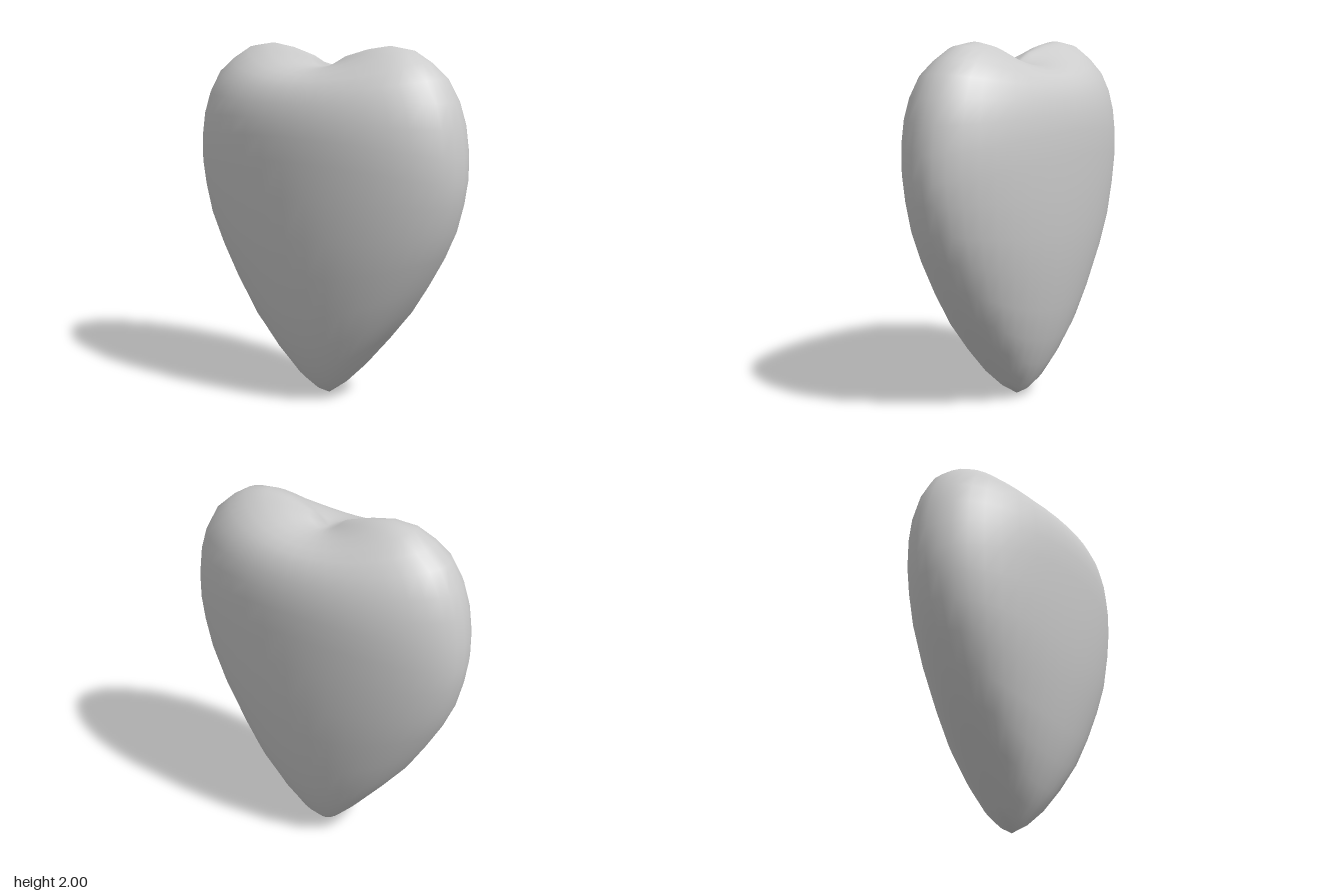
import * as THREE from 'three';

const HALF_WIDTH = 0.86;
const FRONT_DEPTH = 0.44;
const BACK_DEPTH = 0.4;
const CENTRE_Z = -0.02;
const SEGMENTS = 40;

// Rings from tip to cleft: [relative radius, height at the sides, height at the front and back]
const RINGS = [
  [0.155, 0.11, 0.035], [0.31, 0.25, 0.1], [0.465, 0.4, 0.21], [0.62, 0.56, 0.36],
  [0.74, 0.72, 0.54], [0.85, 0.88, 0.76], [0.93, 1.03, 0.97], [0.977, 1.18, 1.2],
  [1, 1.3, 1.4], [1, 1.44, 1.53], [0.977, 1.59, 1.62], [0.93, 1.72, 1.7],
  [0.85, 1.84, 1.77], [0.74, 1.92, 1.815], [0.62, 1.98, 1.845], [0.465, 2, 1.865],
  [0.31, 1.98, 1.875], [0.14, 1.94, 1.88],
];

function heartGeometry() {
  const positions = [];
  const index = [];

  // Elliptical rings whose height swings between the side and front profiles
  for (const [radius, sideY, frontY] of RINGS) {
    for (let i = 0; i < SEGMENTS; i++) {
      const angle = (i / SEGMENTS) * Math.PI * 2;
      const c = Math.cos(angle);
      const s = Math.sin(angle);
      const depth = s > 0 ? FRONT_DEPTH : BACK_DEPTH;
      positions.push(
        HALF_WIDTH * radius * c,
        THREE.MathUtils.lerp(frontY, sideY, c * c),
        CENTRE_Z + depth * radius * s,
      );
    }
  }

  // Tip and cleft points
  const tip = RINGS.length * SEGMENTS;
  const cleft = tip + 1;
  positions.push(0, 0, CENTRE_Z, 0, 1.88, CENTRE_Z);

  // Skin between rings, closed by fans at both ends
  const last = (RINGS.length - 1) * SEGMENTS;
  for (let i = 0; i < SEGMENTS; i++) {
    const j = (i + 1) % SEGMENTS;
    index.push(tip, i, j);
    for (let base = 0; base < last; base += SEGMENTS) {
      const up = base + SEGMENTS;
      index.push(base + i, up + i, base + j, up + i, up + j, base + j);
    }
    index.push(last + i, cleft, last + j);
  }

  const geometry = new THREE.BufferGeometry();
  geometry.setAttribute('position', new THREE.Float32BufferAttribute(positions, 3));
  geometry.setIndex(index);
  geometry.computeVertexNormals();
  return geometry;
}

export function createModel() {
  const group = new THREE.Group();
  group.name = 'heart';
  const body = new THREE.Mesh(
    heartGeometry(),
    new THREE.MeshStandardMaterial({ color: 0xcccccc }),
  );
  body.name = 'heartBody';
  group.add(body);
  return group;
}
